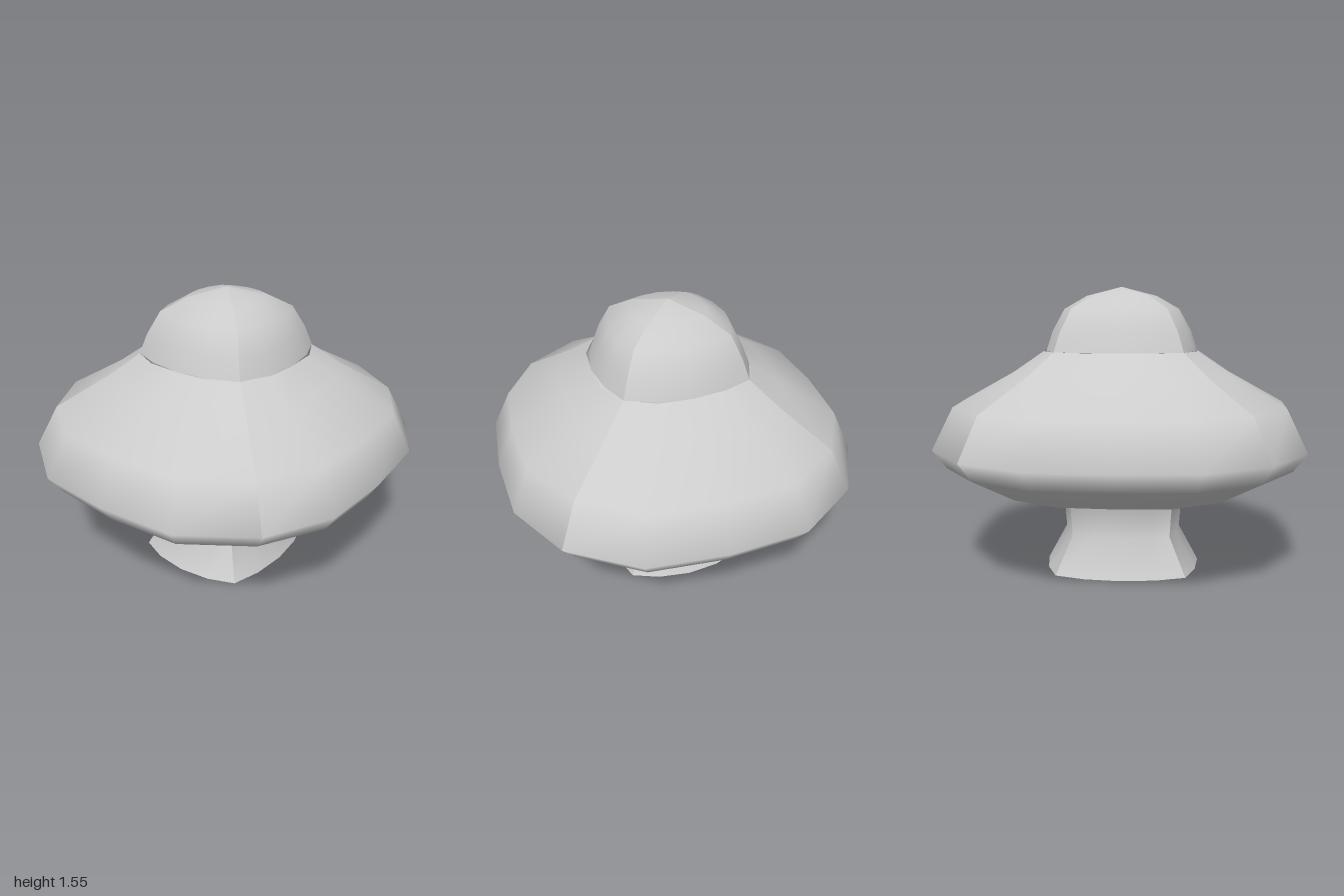
import * as THREE from 'three';
import { mergeVertices, mergeGeometries } from 'three/addons/utils/BufferGeometryUtils.js';

// Lofts rounded-square rings from bottom to top. Each row holds
// [y, middle x, middle z, corner x, corner z]. The four sides are kept
// apart, so that the diagonals stay creased.
function loft(rows, bulge) {
  const steps = [-1, -0.55, 0, 0.55, 1];
  const drops = [1, bulge, 0, bulge, 1];
  const n = steps.length;
  const sides = [0, 1, 2, 3].map((side) => {
    const pos = [], index = [];
    rows.forEach(([y, mx, mz, cx, cz], j) => {
      steps.forEach((t, i) => {
        const s = side < 2 ? 1 : -1;
        if (side % 2 === 0) pos.push(s * t * cx, y, s * (mz + (cz - mz) * drops[i]));
        else pos.push(s * (mx + (cx - mx) * drops[i]), y, -s * t * cz);
        if (j > 0 && i > 0) {
          const c = j * n + i, d = c - 1, b = c - n, a = b - 1;
          index.push(a, b, c, a, c, d);
        }
      });
    });
    let geo = new THREE.BufferGeometry();
    geo.setAttribute('position', new THREE.Float32BufferAttribute(pos, 3));
    geo.setIndex(index);
    geo = mergeVertices(geo);
    geo.computeVertexNormals();
    return geo;
  });
  return mergeGeometries(sides);
}

export function createModel() {
  const group = new THREE.Group();
  const material = new THREE.MeshStandardMaterial({ color: 0xcccccc, side: THREE.DoubleSide });
  const add = (name, rows, bulge) => {
    const mesh = new THREE.Mesh(loft(rows, bulge), material);
    mesh.name = name;
    group.add(mesh);
    return mesh;
  };

  // Wide brim of the cap
  const rim = [0.465, 0.69, 0.66, 0.52, 0.51];
  const neck = [1.205, 0.42, 0.417, 0.335, 0.33];
  add('capBrim', [
    rim,
    [0.6, 0.93, 0.895, 0.69, 0.69],
    [0.7, 1.0, 0.957, 0.74, 0.75],
    [0.92, 0.895, 0.86, 0.66, 0.66],
    [1.09, 0.59, 0.57, 0.45, 0.45],
    neck,
  ], 0.13);

  // Domed crown
  add('capCrown', [
    neck,
    [1.31, 0.385, 0.375, 0.305, 0.3],
    [1.43, 0.318, 0.315, 0.25, 0.25],
    [1.5, 0.195, 0.195, 0.15, 0.15],
    [1.55, 0, 0, 0, 0],
  ], 0.3);

  // Recessed underside of the cap
  add('capUnderside', [
    [0.54, 0, 0, 0, 0],
    [0.54, 0.62, 0.59, 0.46, 0.45],
    rim,
  ], 0.13);

  // Flared stem and its flat foot
  const foot = [0, 0.43, 0.388, 0.35, 0.32];
  const stem = add('stem', [
    foot,
    [0.2, 0.322, 0.293, 0.265, 0.235],
    [0.4, 0.337, 0.304, 0.277, 0.247],
    [0.54, 0.42, 0.38, 0.34, 0.31],
  ], 0.28);
  const base = add('stemFoot', [[0, 0, 0, 0, 0], foot], 0.28);
  stem.position.x = base.position.x = -0.008;

  return group;
}
